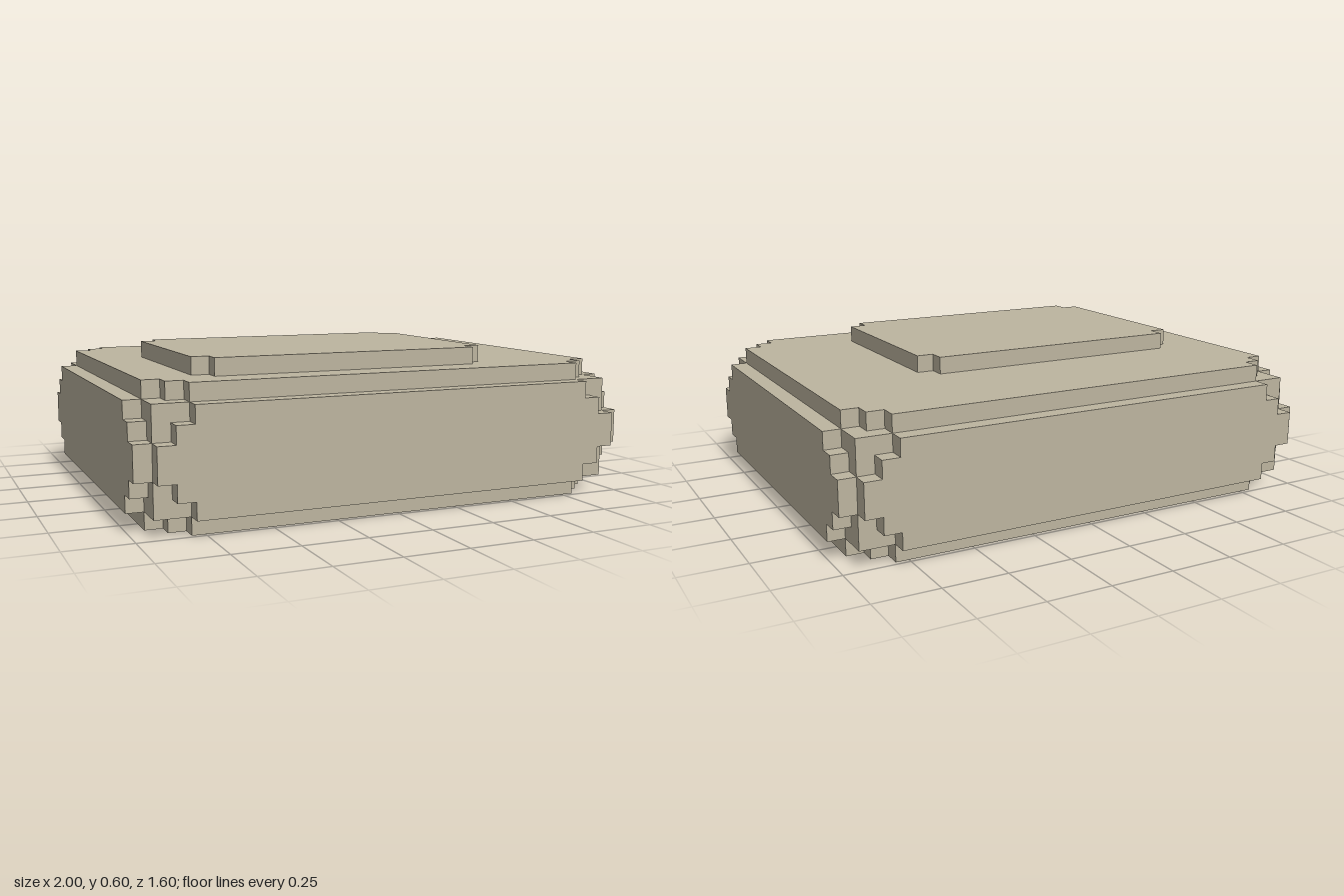
import * as THREE from 'three';

const U = 1 / 15; // one block

// Plate one block thick, with corners cut back in `steps` stair steps.
// Half sizes in blocks; it grows from z = 0 towards +z.
function steppedPlate(halfW, halfH, steps) {
  const corner = [];
  for (let i = 0; i <= steps; i++) {
    corner.push([halfW - i, halfH - steps + i]);
    if (i < steps) corner.push([halfW - i - 1, halfH - steps + i]);
  }
  const points = [];
  for (const [sx, sy] of [[1, 1], [-1, 1], [-1, -1], [1, -1]]) {
    const order = sx * sy > 0 ? corner : [...corner].reverse();
    for (const [x, y] of order) points.push(new THREE.Vector2(sx * x * U, sy * y * U));
  }
  return new THREE.ExtrudeGeometry(new THREE.Shape(points), { depth: U, bevelEnabled: false });
}

export function createModel() {
  const group = new THREE.Group();
  const stone = new THREE.MeshStandardMaterial({ color: 0xbdb5a0 });
  stone.name = 'stone';

  const add = (name, geometry, x, y, z, rx = 0, ry = 0) => {
    const mesh = new THREE.Mesh(geometry, stone);
    mesh.name = name;
    mesh.position.set(x * U, y * U, z * U);
    mesh.rotation.set(rx, ry, 0);
    group.add(mesh);
  };

  // Solid core
  add('core', new THREE.BoxGeometry(28 * U, 6 * U, 22 * U), 0, 4, 0);

  // Stepped plates on the six faces
  const Q = Math.PI / 2;
  const broad = steppedPlate(14, 11, 2);
  const long = steppedPlate(14, 3, 2);
  const short = steppedPlate(11, 3, 2);
  add('topPlate', broad, 0, 7, 0, -Q);
  add('bottomPlate', broad, 0, 1, 0, Q);
  add('frontPlate', long, 0, 4, 11);
  add('backPlate', long, 0, 4, -11, 0, Math.PI);
  add('leftPlate', short, 14, 4, 0, 0, Q);
  add('rightPlate', short, -14, 4, 0, 0, -Q);

  // Off-centre raised slab on top
  add('raisedSlab', steppedPlate(9, 6.5, 1), -2, 8, 2.5, -Q);

  return group;
}
